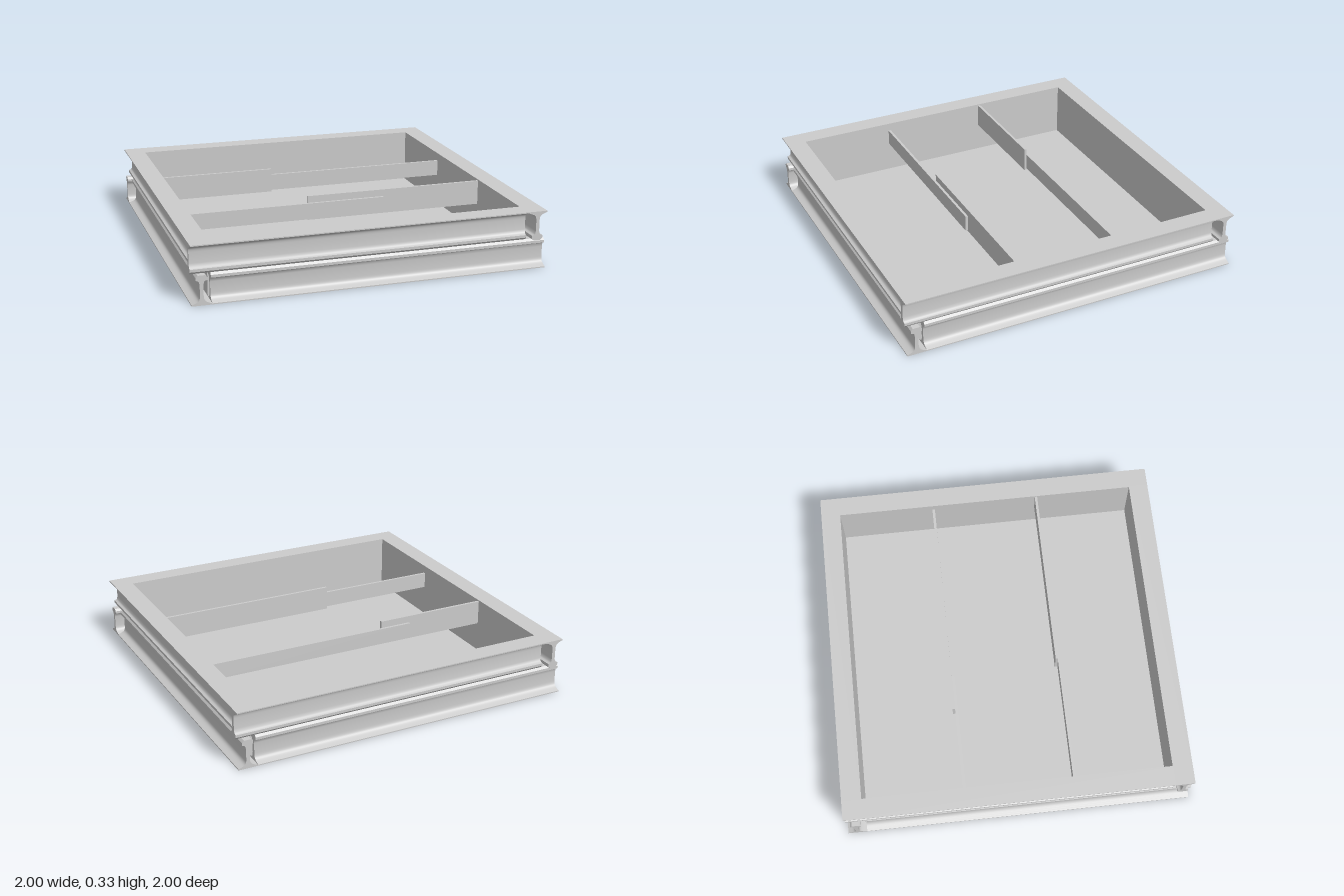
import * as THREE from 'three';
import { toCreasedNormals } from 'three/addons/utils/BufferGeometryUtils.js';

const H = 0.33, HALF = H / 2, FLANGE = 0.11, INNER = 1 - FLANGE;
const mat = new THREE.MeshStandardMaterial({ color: 0xcccccc });

function box(name, x0, x1, y0, y1, z0, z1) {
  const mesh = new THREE.Mesh(new THREE.BoxGeometry(x1 - x0, y1 - y0, z1 - z0), mat);
  mesh.position.set((x0 + x1) / 2, (y0 + y1) / 2, (z0 + z1) / 2);
  mesh.name = name;
  return mesh;
}

// Rail section: wide tapered flange at v = 0, slim web, small head at v = HALF
function railGeometry(flip) {
  const half = [[0.055, 0], [0.055, 0.006]];
  const flare = new THREE.CubicBezierCurve(
    new THREE.Vector2(0.055, 0.006), new THREE.Vector2(0.022, 0.019),
    new THREE.Vector2(0.011, 0.02), new THREE.Vector2(0.01, 0.05));
  flare.getPoints(8).slice(1).forEach(p => half.push([p.x, p.y]));
  half.push([0.01, 0.11], [0.013, 0.128], [0.019, 0.134], [0.031, 0.138], [0.031, 0.153], [0.02, HALF]);
  const outline = [...half, ...half.slice().reverse().map(([u, v]) => [-u, v])];
  const shape = new THREE.Shape(outline.map(([u, v]) => new THREE.Vector2(u, flip ? H - v : v)));
  const geo = new THREE.ExtrudeGeometry(shape, { depth: 1 + INNER, bevelEnabled: false });
  return toCreasedNormals(geo, 0.7);
}

// Four rails laid pinwheel fashion round the square
function railFrame(name, flip) {
  const frame = new THREE.Group();
  frame.name = name;
  const geo = railGeometry(flip);
  geo.translate(1 - FLANGE / 2, 0, flip ? -INNER : -1);
  for (let i = 0; i < 4; i++) {
    const rail = new THREE.Mesh(geo, mat);
    rail.name = 'rail';
    rail.rotation.y = i * Math.PI / 2;
    frame.add(rail);
  }
  return frame;
}

export function createModel() {
  const model = new THREE.Group();
  model.name = 'railFramedTray';
  model.add(railFrame('lowerFrame', false), railFrame('upperFrame', true));

  // Floor and flat inner walls
  model.add(box('floor', -INNER, INNER, 0, 0.008, -INNER, INNER));
  for (let i = 0; i < 4; i++) {
    const side = new THREE.Group();
    side.name = 'innerWall';
    side.add(box('wallPanel', INNER - 0.004, INNER, 0, H, -INNER, INNER));
    side.rotation.y = i * Math.PI / 2;
    model.add(side);
  }

  // Two overlapping pairs of raised divider panels
  model.add(
    box('backDividerTall', -INNER, -0.215, 0.18, 0.322, -0.31, -0.295),
    box('backDividerShort', -0.4, INNER, 0.188, 0.282, -0.325, -0.31),
    box('frontDividerTall', -0.17, INNER, 0.18, 0.322, 0.305, 0.32),
    box('frontDividerShort', -INNER, 0.285, 0.188, 0.282, 0.32, 0.335));
  return model;
}
